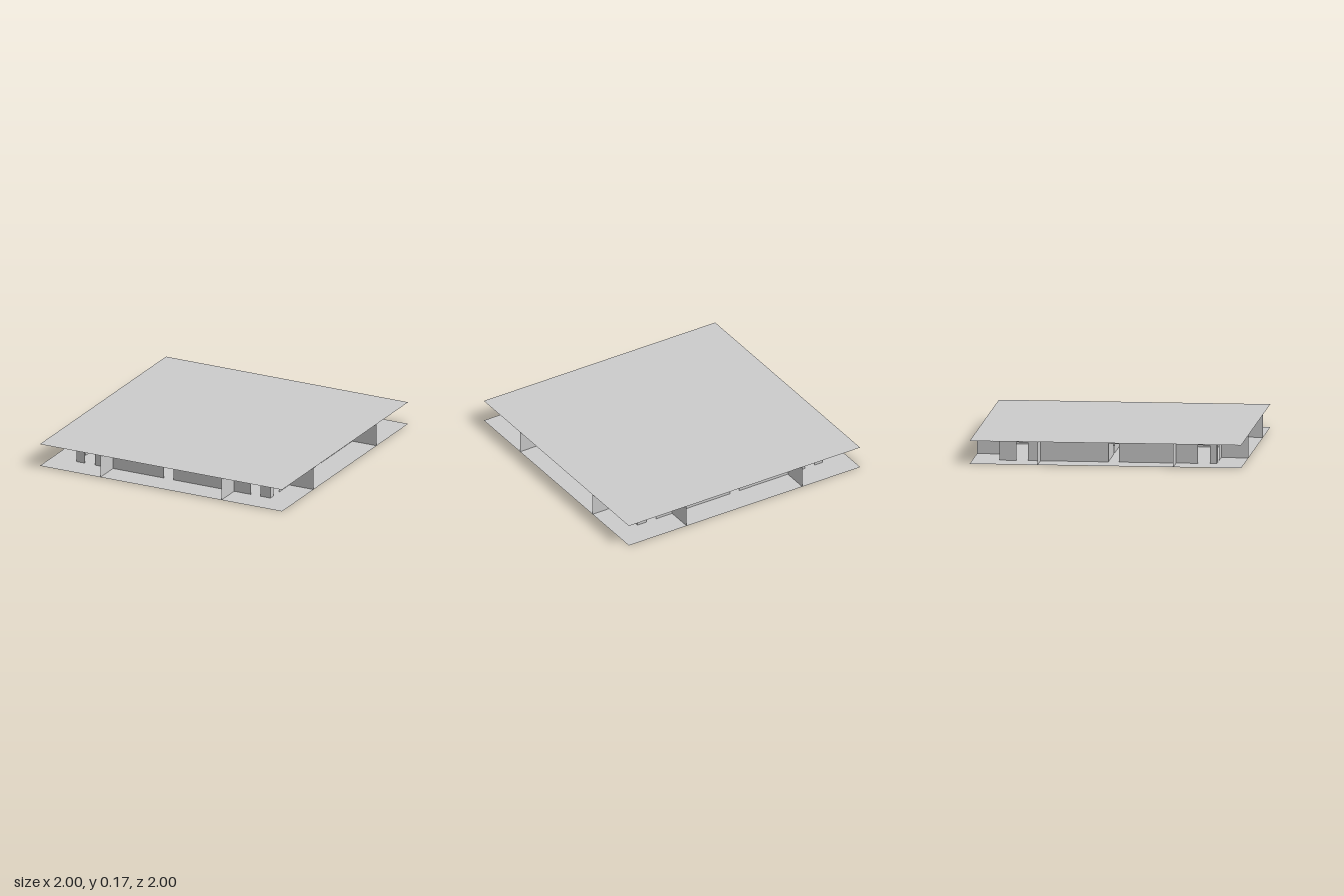
import * as THREE from 'three';

const H = 0.17;       // storey height
const DOOR_H = 0.135;
const IN = 0.8;       // half width of the walled core

export function createModel() {
  const model = new THREE.Group();
  const mat = new THREE.MeshStandardMaterial({ color: 0xcccccc, side: THREE.DoubleSide });

  const add = (geo, name, parent = model) => {
    const mesh = new THREE.Mesh(geo, mat);
    mesh.name = name;
    parent.add(mesh);
    return mesh;
  };

  // Thin upright wall outline from a to b, stepping up over each doorway
  const wallGeometry = (a, b, doors = []) => {
    const s = new THREE.Shape();
    s.moveTo(a, 0);
    for (const [l, r] of doors) {
      s.lineTo(l, 0);
      s.lineTo(l, DOOR_H);
      s.lineTo(r, DOOR_H);
      s.lineTo(r, 0);
    }
    s.lineTo(b, 0);
    s.lineTo(b, H);
    s.lineTo(a, H);
    return new THREE.ShapeGeometry(s);
  };
  // Wall lying along x at a fixed z
  const wallX = (name, z, a, b, doors) => {
    add(wallGeometry(a, b, doors), name).position.z = z;
  };
  // Wall lying along z at a fixed x
  const wallZ = (name, x, a, b, doors = []) => {
    const flipped = doors.map(([l, r]) => [-r, -l]).reverse();
    const mesh = add(wallGeometry(-b, -a, flipped), name);
    mesh.rotation.y = Math.PI / 2;
    mesh.position.x = x;
  };

  // Floor and ceiling sheets
  const sheet = new THREE.PlaneGeometry(2, 2).rotateX(-Math.PI / 2);
  add(sheet, 'floor');
  add(sheet, 'ceiling').position.y = H;

  // Outer walls of the core, three doorways on each side
  const doorsX = [[-0.73, -0.65], [-0.08, 0], [0.64, 0.72]];
  const doorsZ = [[-0.675, -0.59], [0, 0.08], [0.66, 0.75]];
  wallX('frontWall', IN, -IN, IN, doorsX);
  wallX('backWall', -IN, -IN, IN, doorsX);
  wallZ('leftWall', IN, -IN, IN, doorsZ);
  wallZ('rightWall', -IN, -IN, IN, doorsZ);

  // Short fins dividing the outer corridor
  for (const side of [-1, 1]) {
    for (const at of [-0.5, 0.5]) {
      const a = side > 0 ? IN : -1;
      wallZ('corridorFin', at, a, a + 0.2);
      wallX('corridorFin', at, a, a + 0.2);
    }
  }

  // Inner partitions
  wallX('crossPartition', 0, -IN, IN, [[-0.44, -0.36], [0.36, 0.44]]);
  wallZ('longPartition', 0, -IN, IN, [[-0.44, -0.36], [0.36, 0.44]]);
  wallZ('shortPartition', 0.4, -IN, -0.62);

  // Grid of flat light panels just under the ceiling
  const lights = new THREE.Group();
  lights.name = 'ceilingLights';
  model.add(lights);
  const panel = new THREE.PlaneGeometry(0.06, 0.03).rotateX(Math.PI / 2);
  for (let i = 0; i < 10; i++) {
    for (let j = 0; j < 10; j++) {
      add(panel, 'lightPanel', lights)
        .position.set(-0.965 + 0.2 * i, H - 0.001, -0.85 + 0.2 * j);
    }
  }
  return model;
}
